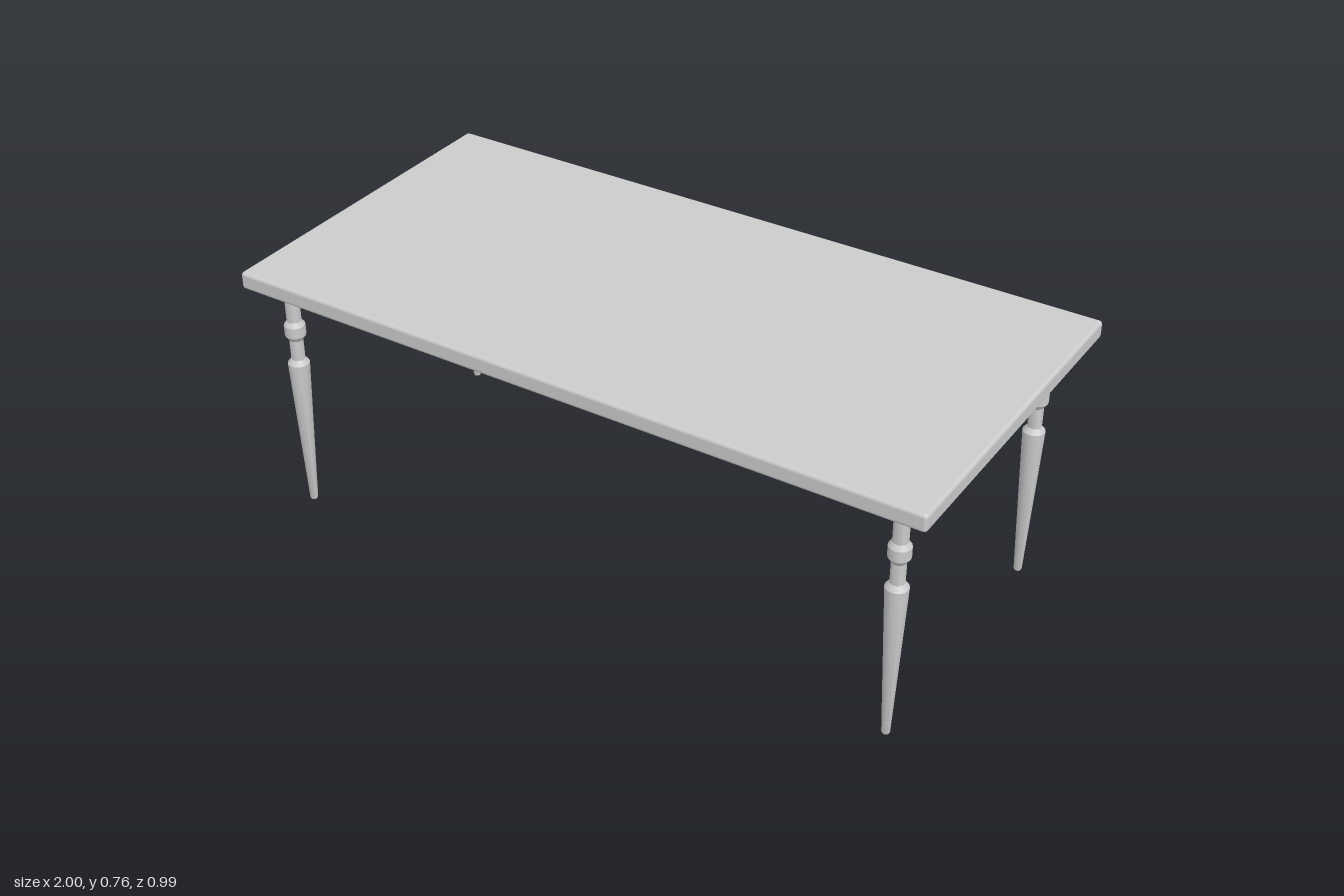
import * as THREE from 'three';
import { toCreasedNormals } from 'three/addons/utils/BufferGeometryUtils.js';
import { RoundedBoxGeometry } from 'three/addons/geometries/RoundedBoxGeometry.js';

// Turned leg outline: [radius, height] from the foot upward
const LEG_PROFILE = [
  [0, 0], [0.009, 0], [0.011, 0.004],  // foot
  [0.03, 0.455], [0.019, 0.469],       // taper and shoulder
  [0.019, 0.529],                      // neck
  [0.029, 0.544], [0.029, 0.575],      // ring
  [0.02, 0.588], [0.02, 0.718],        // upper post
  [0, 0.718],
];

export function createModel() {
  const table = new THREE.Group();
  table.name = 'table';
  const material = new THREE.MeshStandardMaterial({ color: 0xcccccc });

  // Tabletop slab with softened edges
  const top = new THREE.Mesh(new RoundedBoxGeometry(2, 0.05, 0.988, 3, 0.01), material);
  top.name = 'tabletop';
  top.position.y = 0.74;
  table.add(top);

  // Four turned legs, set slightly off centre under the top
  const points = LEG_PROFILE.map(([r, y]) => new THREE.Vector2(r, y));
  const legGeometry = toCreasedNormals(new THREE.LatheGeometry(points, 16), 0.5);
  for (const [side, x] of [['Left', 0.892], ['Right', -0.93]]) {
    for (const [end, z] of [['front', 0.387], ['back', -0.384]]) {
      const leg = new THREE.Mesh(legGeometry, material);
      leg.name = `${end}${side}Leg`;
      leg.position.set(x, 0, z);
      table.add(leg);
    }
  }
  return table;
}
